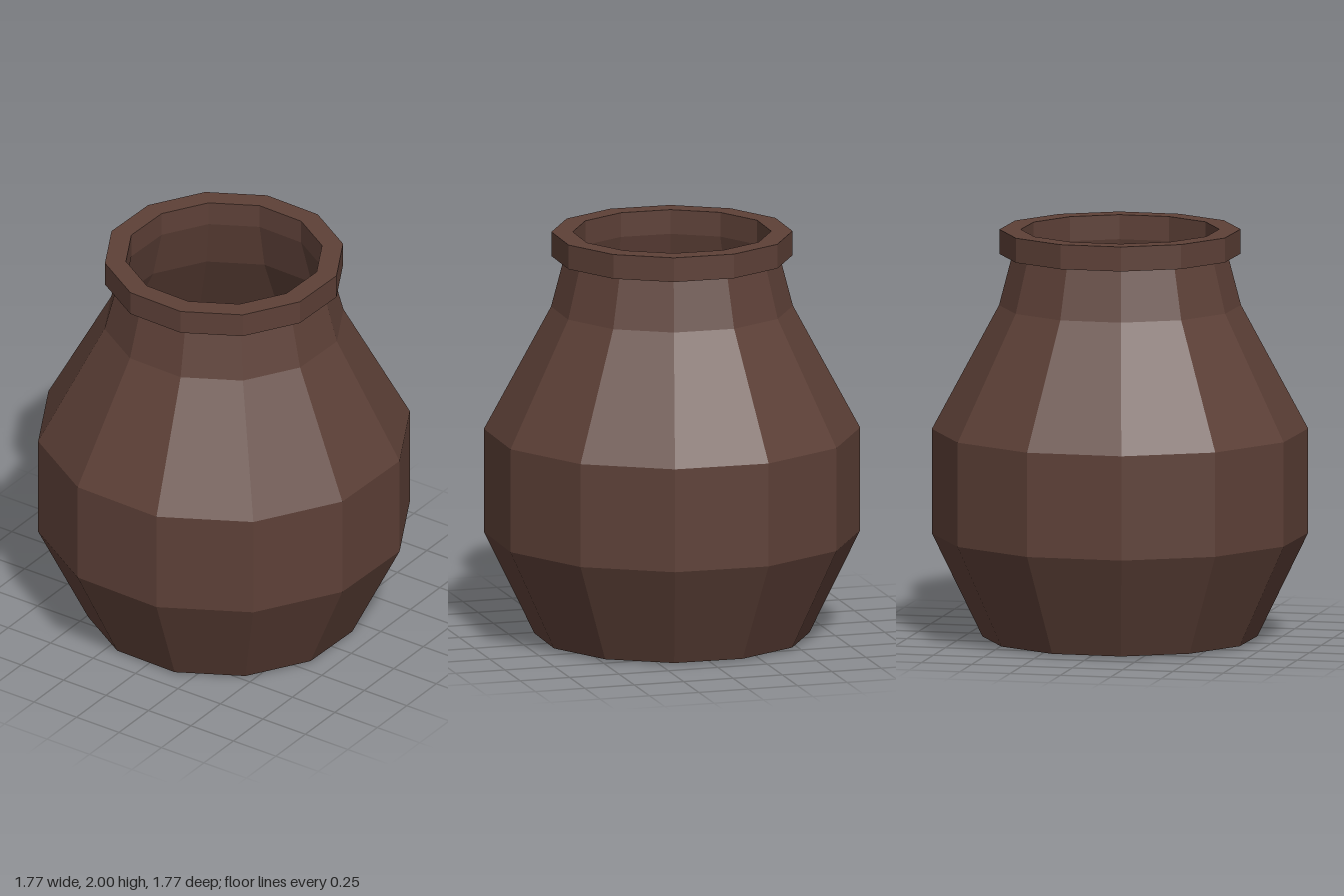
import * as THREE from 'three';

const SIDES = 12;
const TURN = 0.24; // the facets are turned slightly off the axes

const clay = new THREE.MeshStandardMaterial({ color: 0x5d4037, flatShading: true });

// Faceted surface of revolution from [radius, height] pairs
function turned(name, profile) {
  const points = profile.map(([r, y]) => new THREE.Vector2(r, y));
  const mesh = new THREE.Mesh(new THREE.LatheGeometry(points, SIDES, TURN), clay);
  mesh.name = name;
  return mesh;
}

export function createModel() {
  const pot = new THREE.Group();
  pot.name = 'pot';

  // Outer wall, from the centre of the base up to the neck
  pot.add(turned('body', [
    [0, 0], [0.665, 0.01], [0.91, 0.515], [0.91, 1.025], [0.585, 1.63], [0.52, 1.88],
  ]));

  // Inside of the wall, from the lip down to the floor
  pot.add(turned('lining', [
    [0.48, 1.88], [0.545, 1.63], [0.87, 1.02], [0.87, 0.52], [0.635, 0.05], [0, 0.05],
  ]));

  // Collar around the mouth: underside, outer face, top and inner face
  pot.add(turned('rim', [
    [0.48, 1.88], [0.583, 1.88], [0.583, 2], [0.48, 2], [0.48, 1.88],
  ]));

  return pot;
}
